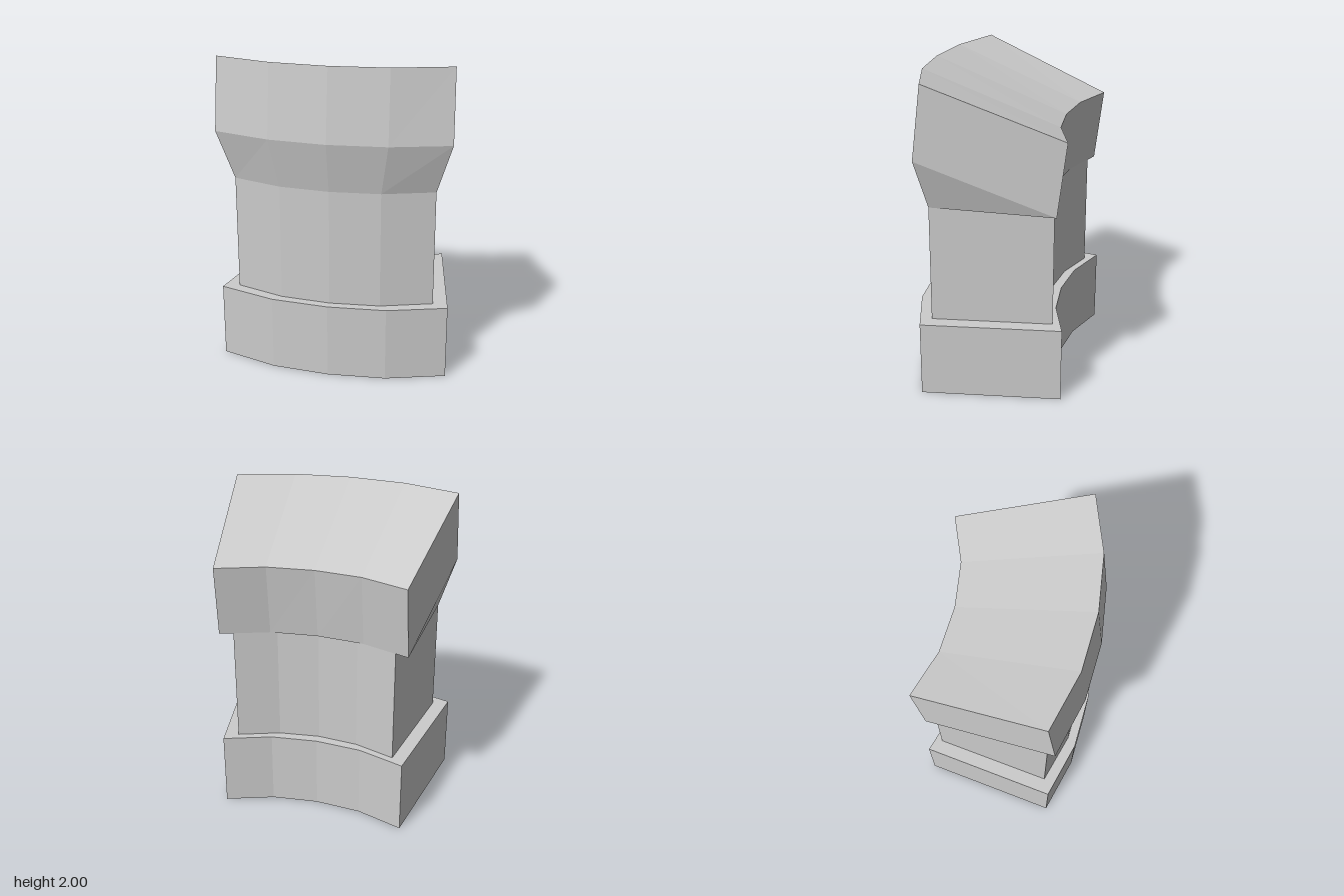
import * as THREE from 'three';

// Each rail is one lengthwise edge: [half width, y, z at ends, z at quarter points, z at middle].
// Rails go round the section: front low, front top, back top, back low...
function curvedBlock(name, rails, material) {
  const point = ([w, y, zEnd, zQuarter, zMid], i) =>
    [w * (i - 2) / 2, y, [zEnd, zQuarter, zMid, zQuarter, zEnd][i]];
  const n = rails.length;
  const positions = [];
  const tri = (...corners) => corners.forEach(c => positions.push(...c));

  // Faces running across the width
  for (let i = 0; i < 4; i++) {
    for (let j = 0; j < n; j++) {
      const r = rails[j], s = rails[(j + 1) % n];
      const a = point(r, i), b = point(r, i + 1), c = point(s, i + 1), d = point(s, i);
      tri(a, b, c);
      tri(a, c, d);
    }
  }
  // End faces, fanned from the first rail
  for (let k = 1; k < n - 1; k++) {
    tri(point(rails[0], 0), point(rails[k], 0), point(rails[k + 1], 0));
    tri(point(rails[0], 4), point(rails[k + 1], 4), point(rails[k], 4));
  }

  const geometry = new THREE.BufferGeometry();
  geometry.setAttribute('position', new THREE.Float32BufferAttribute(positions, 3));
  geometry.computeVertexNormals();
  const mesh = new THREE.Mesh(geometry, material);
  mesh.name = name;
  return mesh;
}

// Upright block with the same curved plan at top and bottom
function uprightBlock(name, y0, y1, front, back, material) {
  const at = ([w, ...z], y) => [w, y, ...z];
  return curvedBlock(name, [at(front, y0), at(front, y1), at(back, y1), at(back, y0)], material);
}

export function createModel() {
  const group = new THREE.Group();
  group.name = 'curvedPedestal';
  const grey = new THREE.MeshStandardMaterial({ color: 0xcccccc, flatShading: true });

  // Wide base and narrower neck
  group.add(uprightBlock('base', 0, 0.48,
    [0.74, 0.36, 0.478, 0.508], [0.592, -0.505, -0.402, -0.373], grey));
  group.add(uprightBlock('neck', 0.48, 1.225,
    [0.64, 0.315, 0.422, 0.45], [0.515, -0.43, -0.34, -0.312], grey));

  // Sloped cap, flaring out from the neck at the front
  group.add(curvedBlock('slopedCap', [
    [0.74, 1.54, 0.37, 0.482, 0.515],
    [0.732, 2.0, 0.315, 0.428, 0.46],
    [0.59, 1.68, -0.515, -0.41, -0.382],
    [0.598, 1.22, -0.46, -0.355, -0.328],
    [0.64, 1.225, 0.315, 0.422, 0.45],
  ], grey));

  return group;
}
